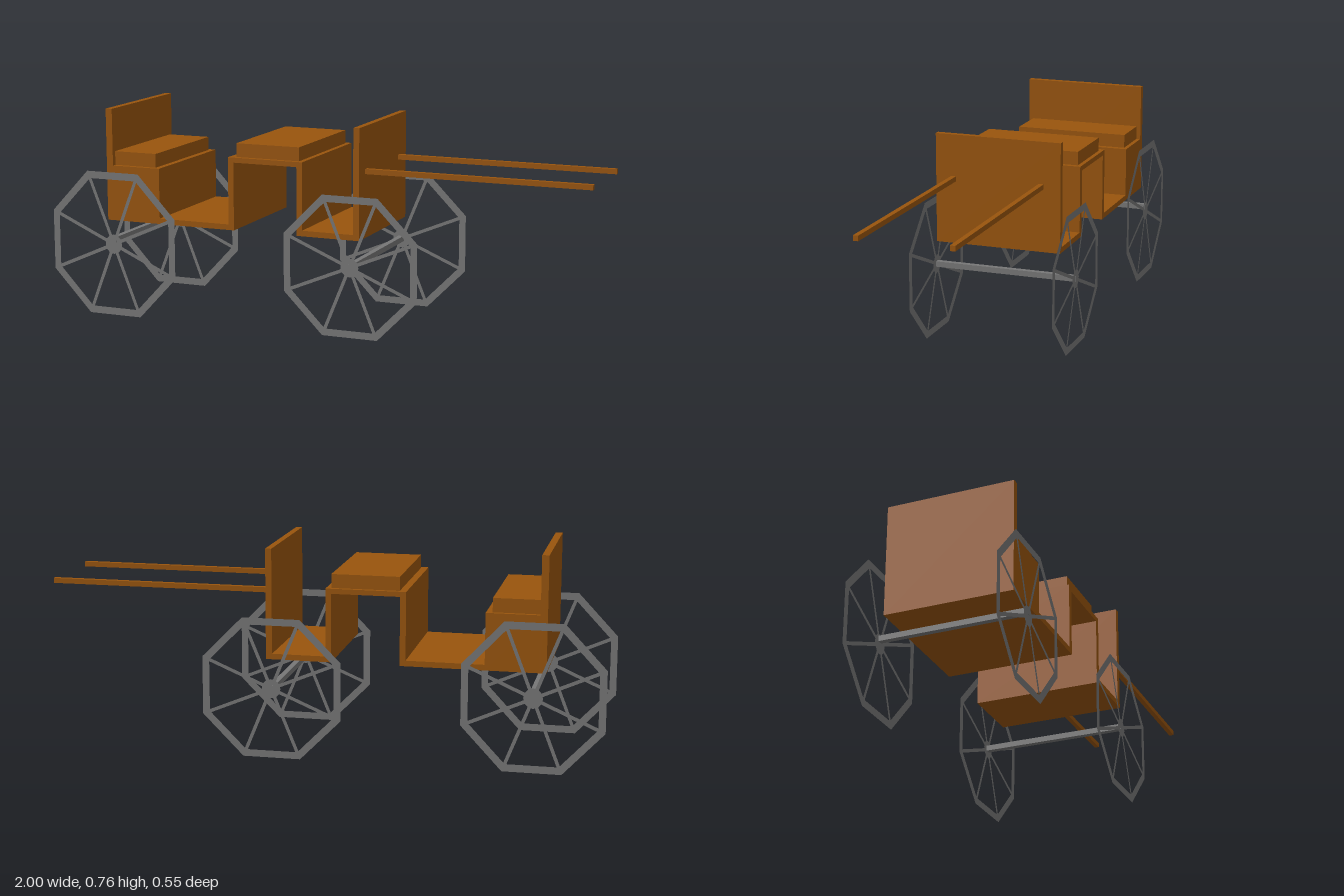
import * as THREE from 'three';

const wood = new THREE.MeshStandardMaterial({ color: 0x99550d, flatShading: true });
const iron = new THREE.MeshStandardMaterial({ color: 0x777777, flatShading: true });
const ironFlat = new THREE.MeshStandardMaterial({ color: 0x777777, side: THREE.DoubleSide });

// Box given by its minimum and maximum on each axis
function box(name, [x0, x1], [y0, y1], [z0, z1], material = wood) {
  const mesh = new THREE.Mesh(new THREE.BoxGeometry(x1 - x0, y1 - y0, z1 - z0), material);
  mesh.position.set((x0 + x1) / 2, (y0 + y1) / 2, (z0 + z1) / 2);
  mesh.name = name;
  return mesh;
}

// Paper-thin eight-sided wheel: rim, spokes to the corners and hub
function wheel(name, x, y, z, stretch) {
  const group = new THREE.Group();
  group.name = name;
  const R = 0.269;
  const rim = new THREE.Mesh(new THREE.RingGeometry(R - 0.027, R, 8, 1, Math.PI / 8), ironFlat);
  rim.name = 'rim';
  group.add(rim);
  for (let i = 0; i < 8; i++) {
    const length = R - 0.04;
    const geometry = new THREE.PlaneGeometry(length, 0.012).translate(0.02 + length / 2, 0, 0);
    const spoke = new THREE.Mesh(geometry, ironFlat);
    spoke.rotation.z = Math.PI / 8 + (i * Math.PI) / 4;
    spoke.name = 'spoke';
    group.add(spoke);
  }
  const hub = new THREE.Mesh(new THREE.CircleGeometry(0.034, 12), ironFlat);
  hub.name = 'hub';
  group.add(hub);
  group.scale.y = stretch;
  group.position.set(x, y, z);
  return group;
}

export function createModel() {
  const model = new THREE.Group();
  model.name = 'carriage';
  const width = [-0.223, 0.24];
  const cushionWidth = [-0.208, 0.222];

  // Floor boards bent up into a bridge below the middle seat
  const profile = [
    [-0.58, 0.348], [-0.282, 0.348], [-0.282, 0.592], [-0.04, 0.592], [-0.04, 0.348], [0.195, 0.348],
    [0.195, 0.742], [0.173, 0.742], [0.173, 0.368], [-0.019, 0.368], [-0.019, 0.61],
    [-0.303, 0.61], [-0.303, 0.368], [-0.58, 0.368],
  ].map(([x, y]) => new THREE.Vector2(x, y));
  const floorGeometry = new THREE.ExtrudeGeometry(new THREE.Shape(profile), {
    depth: width[1] - width[0], bevelEnabled: false,
  }).translate(0, 0, width[0]);
  const floor = new THREE.Mesh(floorGeometry, wood);
  floor.name = 'floorAndDashboard';
  model.add(floor);

  // Seats
  model.add(
    box('backrest', [-0.79, -0.765], [0.348, 0.757], width),
    box('rearSeatBox', [-0.765, -0.578], [0.348, 0.55], width),
    box('rearCushion', [-0.765, -0.6], [0.55, 0.6], cushionWidth),
    box('middleCushion', [-0.278, -0.037], [0.61, 0.659], cushionWidth),
  );

  // Pulling shafts
  model.add(
    box('leftShaft', [0.195, 1], [0.574, 0.592], [0.165, 0.183]),
    box('rightShaft', [0.195, 1], [0.574, 0.592], [-0.161, -0.143]),
  );

  // Axles and wheels
  model.add(
    box('rearAxle', [-0.76, -0.74], [0.273, 0.293], [-0.255, 0.275], iron),
    box('frontAxle', [0.153, 0.173], [0.245, 0.265], [-0.272, 0.255], iron),
  );
  for (const z of [-0.254, 0.274]) model.add(wheel('rearWheel', -0.75, 0.266, z, 1.065));
  for (const z of [-0.271, 0.254]) model.add(wheel('frontWheel', 0.165, 0.254, z, 1.01));
  return model;
}
